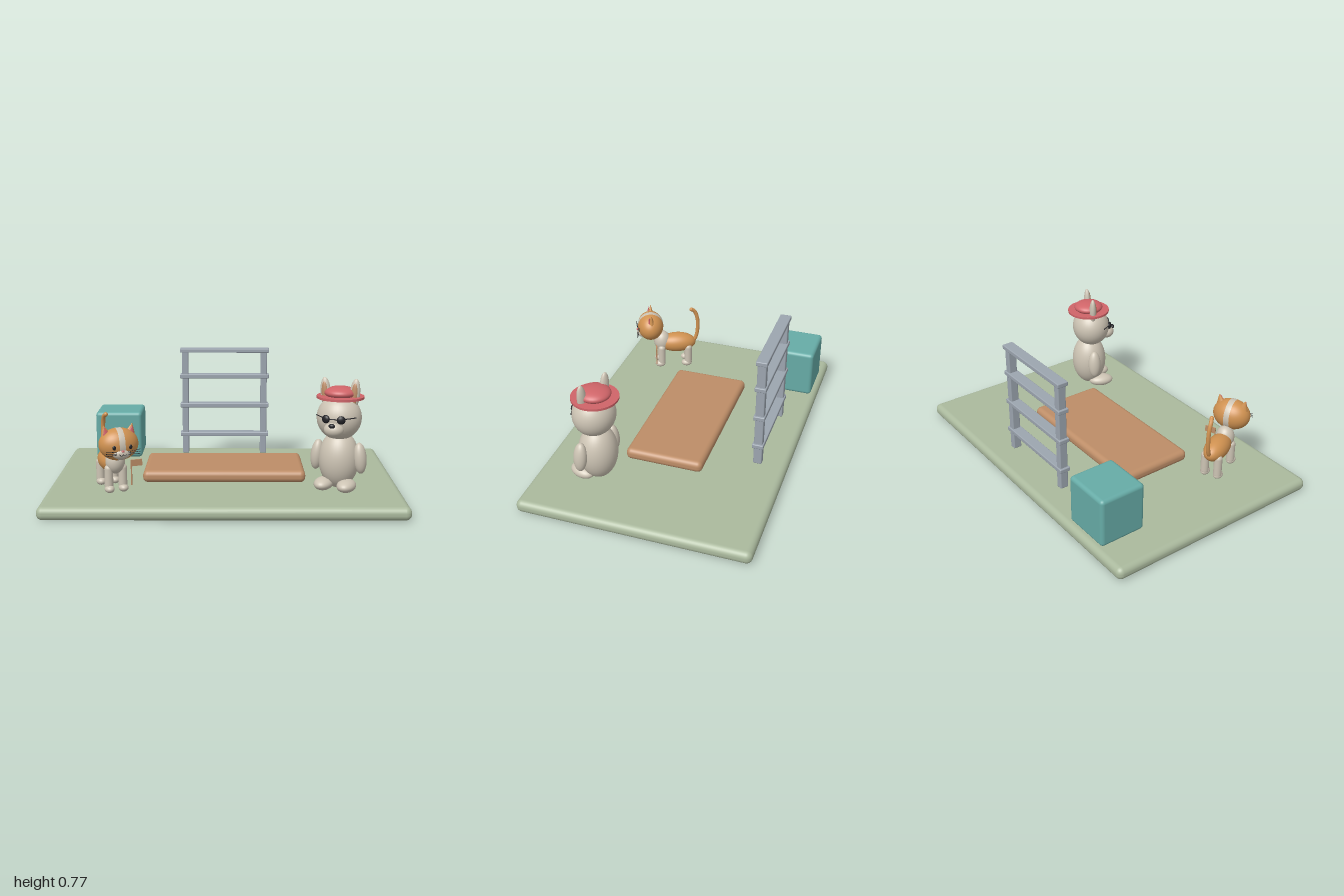
import * as THREE from 'three';
import { RoundedBoxGeometry } from 'three/addons/geometries/RoundedBoxGeometry.js';

const mat = (name, color) => Object.assign(new THREE.MeshStandardMaterial({ color }), { name });

export function createModel() {
  const M = {
    sage: mat('sage green', 0xaab99d), wood: mat('wood brown', 0xbd8d67), teal: mat('teal', 0x66aba6),
    steel: mat('steel grey', 0x9ca5af), cream: mat('cream', 0xcdc4b4), red: mat('coral red', 0xcf6468),
    orange: mat('ginger', 0xcf9150), black: mat('black', 0x222226),
  };
  const model = new THREE.Group();
  model.name = 'playground';

  const add = (parent, name, geo, material, pos = [0, 0, 0], rot = [0, 0, 0]) => {
    const m = new THREE.Mesh(geo, material);
    m.name = name;
    m.position.set(...pos);
    m.rotation.set(...rot);
    parent.add(m);
    return m;
  };
  const ball = (parent, name, material, pos, r, rot) =>
    add(parent, name, new THREE.SphereGeometry(1, 36, 24).scale(...r), material, pos, rot);
  const box = (parent, name, material, size, radius, pos) =>
    add(parent, name, new RoundedBoxGeometry(...size, 4, radius), material, pos);
  const rod = (parent, name, material, a, b, r) =>
    add(parent, name, new THREE.TubeGeometry(new THREE.LineCurve3(new THREE.Vector3(...a), new THREE.Vector3(...b)), 1, r, 8), material);

  // Base, mat and box
  box(model, 'base', M.sage, [2, 0.075, 1.33], 0.034, [0, 0.0375, 0]);
  box(model, 'mat', M.wood, [0.935, 0.07, 0.455], 0.03, [0, 0.12, 0]);
  box(model, 'storageBox', M.teal, [0.29, 0.29, 0.275], 0.022, [-0.668, 0.23, -0.5]);

  // Climbing frame
  const frame = new THREE.Group();
  frame.name = 'climbingFrame';
  frame.position.z = -0.5;
  model.add(frame);
  for (const s of [-1, 1]) box(frame, 'post', M.steel, [0.04, 0.665, 0.05], 0.006, [s * 0.25, 0.418, 0]);
  for (const y of [0.21, 0.4, 0.588, 0.753]) box(frame, 'rung', M.steel, [0.565, 0.026, 0.065], 0.005, [0, y, 0]);

  // Upright animal with a hat
  const dog = new THREE.Group();
  dog.name = 'dog';
  dog.position.set(0.643, 0, 0.312);
  dog.rotation.y = -0.4;
  model.add(dog);
  ball(dog, 'body', M.cream, [0, 0.255, 0], [0.113, 0.165, 0.108]);
  ball(dog, 'head', M.cream, [0, 0.495, 0.015], [0.125, 0.125, 0.117]);
  ball(dog, 'muzzle', M.cream, [0, 0.445, 0.115], [0.055, 0.042, 0.05]);
  ball(dog, 'nose', M.black, [0, 0.473, 0.157], [0.018, 0.013, 0.013]);
  rod(dog, 'glassesBridge', M.black, [-0.03, 0.506, 0.136], [0.03, 0.506, 0.136], 0.003);
  for (const s of [-1, 1]) {
    ball(dog, 'eye', M.black, [s * 0.043, 0.503, 0.127], [0.024, 0.023, 0.014], [0, s * 0.35, 0]);
    rod(dog, 'glassesArm', M.black, [s * 0.06, 0.508, 0.12], [s * 0.112, 0.512, 0.075], 0.003);
    ball(dog, 'ear', M.cream, [s * 0.083, 0.63, 0.01], [0.029, 0.085, 0.021], [0, 0, -s * 0.08]);
    ball(dog, 'innerEar', M.wood, [s * 0.083, 0.627, 0.022], [0.019, 0.066, 0.012], [0, 0, -s * 0.08]);
    ball(dog, 'arm', M.cream, [s * 0.124, 0.272, 0.01], [0.036, 0.088, 0.04], [0, 0, s * 0.1]);
    ball(dog, 'foot', M.cream, [s * 0.066, 0.122, 0.065], [0.052, 0.036, 0.078]);
  }
  add(dog, 'hatBrim', new THREE.CylinderGeometry(0.131, 0.131, 0.013, 48), M.red, [0, 0.608, 0]);
  ball(dog, 'hatCrown', M.red, [0, 0.632, 0], [0.09, 0.036, 0.09]);

  // Standing cat
  const cat = new THREE.Group();
  cat.name = 'cat';
  cat.position.set(-0.635, 0, 0.31);
  cat.rotation.y = 0.4;
  model.add(cat);
  ball(cat, 'body', M.orange, [0, 0.245, -0.015], [0.066, 0.064, 0.122]);
  ball(cat, 'chest', M.cream, [0, 0.26, 0.085], [0.054, 0.07, 0.054]);

  // Head in three bands: ginger sides with a cream blaze
  const bands = [[0, 1.42, M.orange], [1.42, 0.302, M.cream], [1.722, Math.PI - 1.722, M.orange]];
  for (const [start, length, material] of bands) {
    const g = new THREE.SphereGeometry(1, 40, 16, 0, Math.PI * 2, start, length);
    g.rotateZ(Math.PI / 2).scale(0.11, 0.09, 0.084);
    add(cat, material === M.cream ? 'blaze' : 'headSide', g, material, [0, 0.375, 0.16]);
  }
  ball(cat, 'muzzle', M.cream, [0, 0.335, 0.213], [0.052, 0.033, 0.036]);
  ball(cat, 'nose', M.red, [0, 0.352, 0.246], [0.009, 0.006, 0.006]);
  for (const s of [-1, 1]) {
    ball(cat, 'eye', M.black, [s * 0.045, 0.372, 0.236], [0.01, 0.013, 0.006]);
    add(cat, 'ear', new THREE.ConeGeometry(0.034, 0.068, 20).scale(1, 1, 0.6), M.orange, [s * 0.073, 0.452, 0.155], [0, 0, -s * 0.25]);
    add(cat, 'innerEar', new THREE.ConeGeometry(0.023, 0.05, 20).scale(1, 1, 0.45), M.red, [s * 0.073, 0.45, 0.169], [0, 0, -s * 0.25]);
    for (const k of [-1, 0, 1])
      rod(cat, 'whisker', M.black, [s * 0.032, 0.34 + k * 0.007, 0.24], [s * 0.095, 0.346 + k * 0.013, 0.25], 0.0016);
    add(cat, 'mouth', new THREE.TorusGeometry(0.01, 0.0018, 6, 12, Math.PI), M.black, [s * 0.01, 0.338, 0.249], [0, 0, Math.PI]);
    for (const z of [0.09, -0.085]) {
      add(cat, 'leg', new THREE.CapsuleGeometry(0.024, 0.1, 6, 20), M.cream, [s * 0.04, 0.17, z]);
      ball(cat, 'paw', M.cream, [s * 0.04, 0.108, z + 0.01], [0.027, 0.022, 0.034]);
    }
  }

  // Tail
  const path = [[0, 0.235, -0.105], [0, 0.27, -0.135], [0, 0.34, -0.15], [0, 0.42, -0.147], [0, 0.47, -0.128], [0.006, 0.485, -0.108]];
  const curve = new THREE.CatmullRomCurve3(path.map(p => new THREE.Vector3(...p)));
  add(cat, 'tail', new THREE.TubeGeometry(curve, 32, 0.012, 12), M.orange);
  ball(cat, 'tailTip', M.orange, path[5], [0.0125, 0.0125, 0.0125]);

  // Small pennant beside the cat
  rod(cat, 'pennantPole', M.wood, [0.08, 0.125, 0.126], [0.08, 0.268, 0.126], 0.004);
  add(cat, 'pennant', new THREE.BoxGeometry(0.064, 0.036, 0.008), M.wood, [0.11, 0.25, 0.126]);
  return model;
}
